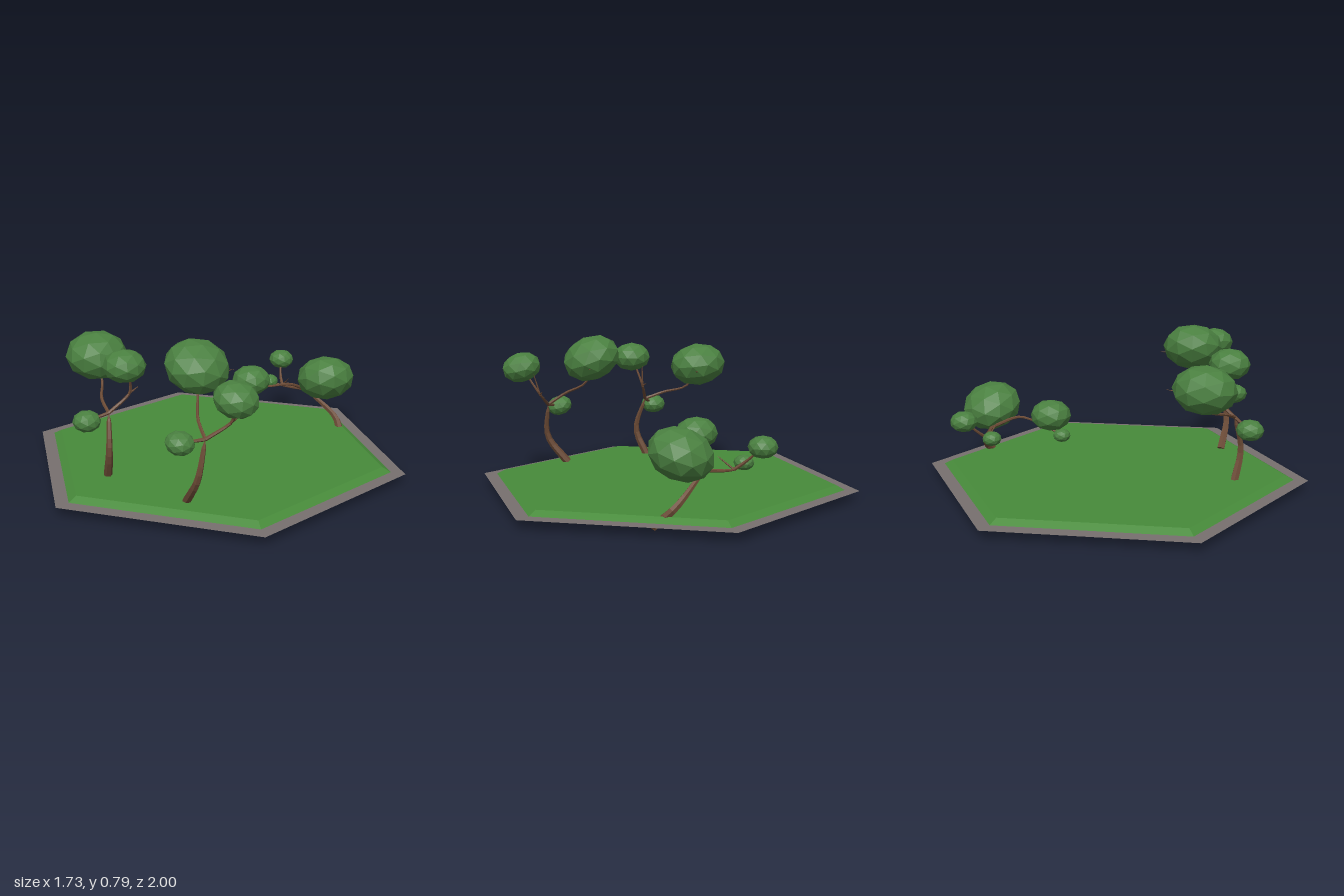
import * as THREE from 'three';

const material = (color, side = THREE.FrontSide) =>
  new THREE.MeshStandardMaterial({ color, side, flatShading: true });
const bark = material(0x6b4a35);
const leaf = material(0x4a8040);
const grass = material(0x478a3a);
const stone = material(0x77706f, THREE.DoubleSide);

// Tapered six-sided limb along a smooth path, closed at both ends
function limb(name, points, r0, r1) {
  const curve = new THREE.CatmullRomCurve3(points.map(p => new THREE.Vector3(...p)));
  const n = points.length * 3, sides = 6;
  const geo = new THREE.TubeGeometry(curve, n, 1, sides, false);
  const pos = geo.attributes.position, v = new THREE.Vector3();
  for (let i = 0; i <= n; i++) {
    const c = curve.getPointAt(i / n);
    // the end rings shrink to points; the second ring moves back to make a flat cap
    const r = i === 0 || i === n ? 0 : r0 + (r1 - r0) * (i - 1) / (n - 2);
    const centre = i === 1 ? curve.getPointAt(0) : c;
    for (let j = 0; j <= sides; j++) {
      const k = i * (sides + 1) + j;
      v.fromBufferAttribute(pos, k).sub(c).multiplyScalar(r).add(centre);
      pos.setXYZ(k, v.x, v.y, v.z);
    }
  }
  const mesh = new THREE.Mesh(geo, bark);
  mesh.name = name;
  return mesh;
}

// Faceted, flattened clump of leaves
function clump(centre, radius, tilt) {
  const mesh = new THREE.Mesh(new THREE.IcosahedronGeometry(radius, 1), leaf);
  mesh.name = 'foliage';
  mesh.position.set(...centre);
  mesh.scale.y = 0.76;
  mesh.rotation.x = tilt;
  return mesh;
}

// Trunk, then limbs that grow from its fork (or from their own start);
// a limb with a size carries a clump at its tip, the others are bare twigs
function buildTree(name, { trunk, limbs }) {
  const tree = new THREE.Group();
  tree.name = name;
  tree.add(limb('trunk', trunk, 0.022, 0.011));
  const fork = trunk[trunk.length - 1];
  for (const { start = fork, path, size, tilt = 0 } of limbs) {
    const thickness = size ? 0.009 : 0.005;
    tree.add(limb(size ? 'branch' : 'twig', [start, ...path], thickness, thickness / 2));
    if (size) tree.add(clump(path[path.length - 1], size, tilt));
  }
  return tree;
}

// Upright tree, measured from its foot
const elbow = [0.12, 0.44, 0.005];
const upright = {
  trunk: [[0, 0, 0], [0.005, 0.17, 0.07], [0.015, 0.35, 0.015]],
  limbs: [
    { path: [[-0.005, 0.39, -0.09], [0.015, 0.435, -0.23], [0, 0.555, -0.29]], size: 0.157, tilt: 0.12 },
    { path: [elbow, [0.12, 0.51, 0.03], [0.09, 0.6, 0.075]], size: 0.105 },
    { path: [[-0.09, 0.307, -0.01]], size: 0.07 },
    { start: [0.01, 0.515, -0.25], path: [[0.2, 0.535, -0.33]] },
    { start: elbow, path: [[0.13, 0.56, 0.005]] },
    { start: elbow, path: [[0.17, 0.46, -0.03]] },
  ],
};

// Low tree that leans over the lawn
const lowFork = [0.5, 0.235, -0.43];
const archEnd = [0.34, 0.31, -0.22];
const leaning = {
  trunk: [[0.74, 0.01, -0.1], [0.745, 0.1, -0.2], [0.6, 0.245, -0.305]],
  limbs: [
    { path: [[0.47, 0.31, -0.23], archEnd, [0.255, 0.355, -0.212]], size: 0.105 },
    { path: [lowFork, [0.433, 0.256, -0.467]], size: 0.049 },
    { start: lowFork, path: [[0.505, 0.28, -0.49], [0.53, 0.352, -0.565]], size: 0.07 },
    { path: [[0.68, 0.335, -0.215]], size: 0.158, tilt: -0.35 },
    { start: archEnd, path: [[0.202, 0.25, -0.19]], size: 0.045 },
    { start: lowFork, path: [[0.51, 0.3, -0.35]] },
  ],
};

export function createModel() {
  const model = new THREE.Group();
  model.name = 'hexagonalGrove';

  // Thin stone hexagon with a corner towards the front
  const tile = new THREE.Mesh(new THREE.CircleGeometry(1, 6, Math.PI / 2), stone);
  tile.name = 'stoneTile';
  tile.rotation.x = -Math.PI / 2;
  tile.position.y = 0.041;
  model.add(tile);

  // Bevelled grass slab
  const lawn = new THREE.Mesh(new THREE.CylinderGeometry(0.883, 0.927, 0.023, 6), grass);
  lawn.name = 'grass';
  lawn.position.y = 0.0545;
  model.add(lawn);

  // The same upright tree twice, the second one tilted
  const leftTree = buildTree('leftTree', upright);
  leftTree.position.set(-0.59, 0.04, 0.22);
  const frontTree = buildTree('frontTree', upright);
  frontTree.position.set(-0.27, 0.065, 0.61);
  frontTree.rotation.set(0.21, 0, -0.16);

  model.add(leftTree, frontTree, buildTree('leaningTree', leaning));
  return model;
}
